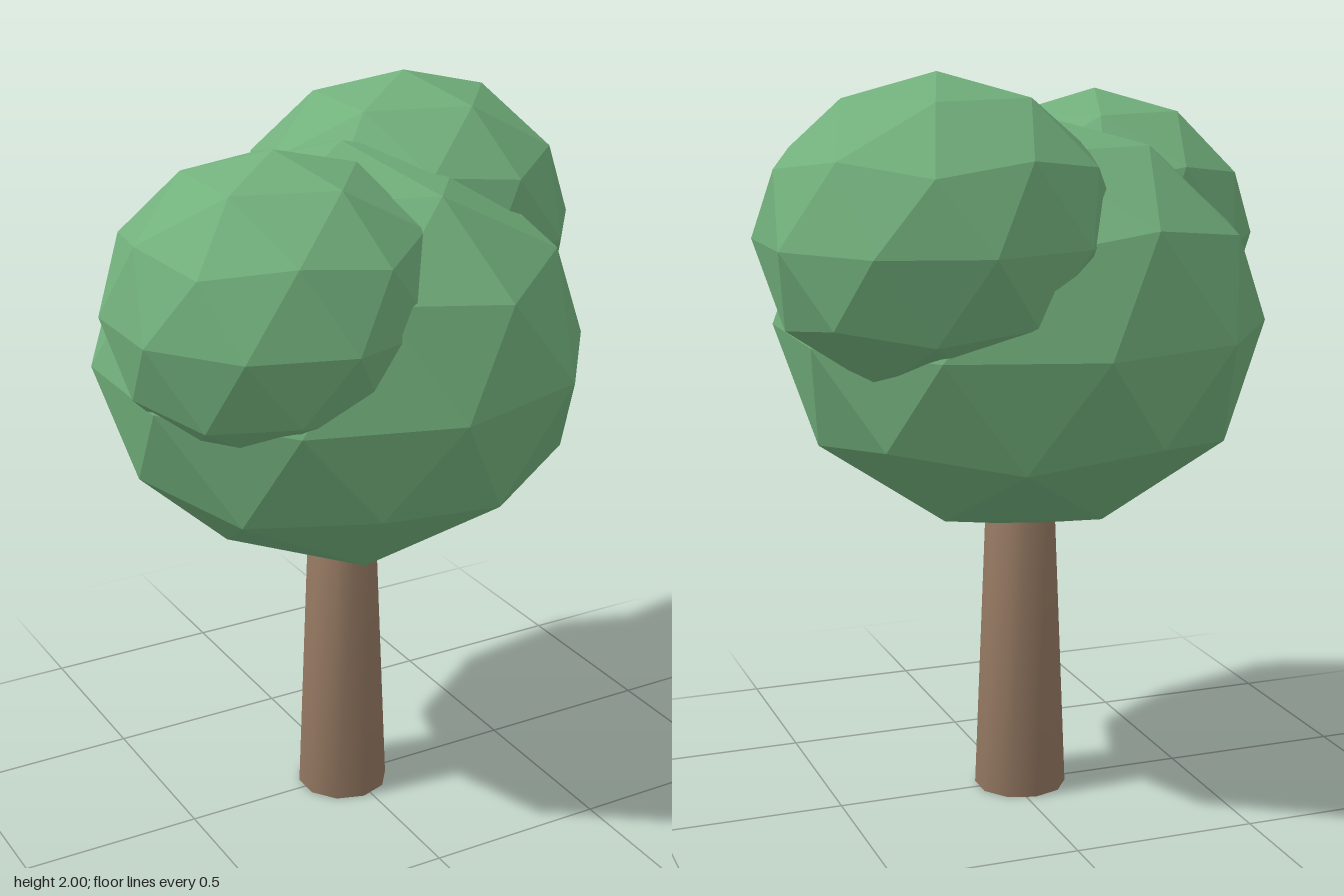
import * as THREE from 'three';
import { mergeVertices } from 'three/addons/utils/BufferGeometryUtils.js';

const leafGreen = new THREE.MeshStandardMaterial({ name: 'leafGreen', color: 0x72b07c, flatShading: true });
const barkBrown = new THREE.MeshStandardMaterial({ name: 'barkBrown', color: 0x967a63 });

// Faceted leaf ball: an icosphere with a corner at each pole, scaled per axis
function leafBall(name, position, radii) {
  const geometry = new THREE.IcosahedronGeometry(1, 1);
  geometry.rotateZ(-Math.atan(2 / (1 + Math.sqrt(5))));
  geometry.scale(...radii);
  geometry.computeVertexNormals();
  const mesh = new THREE.Mesh(geometry, leafGreen);
  mesh.name = name;
  mesh.position.set(...position);
  return mesh;
}

export function createModel() {
  const tree = new THREE.Group();
  tree.name = 'tree';

  // Tapered ten-sided trunk, shaded smoothly all over
  const height = 0.86;
  let bark = new THREE.CylinderGeometry(0.093, 0.127, height, 10);
  bark.deleteAttribute('normal');
  bark.deleteAttribute('uv');
  bark = mergeVertices(bark);
  bark.computeVertexNormals();
  const trunk = new THREE.Mesh(bark, barkBrown);
  trunk.name = 'trunk';
  trunk.position.set(-0.025, height / 2, 0);
  tree.add(trunk);

  // Crown: one large ball and two smaller ones overlapping its top
  tree.add(
    leafBall('mainCrown', [-0.025, 1.32, 0], [0.668, 0.565, 0.64]),
    leafBall('backLeftCrown', [0.27, 1.585, -0.19], [0.473, 0.415, 0.45]),
    leafBall('frontRightCrown', [-0.3, 1.53, 0.155], [0.442, 0.4, 0.438]),
  );
  return tree;
}
